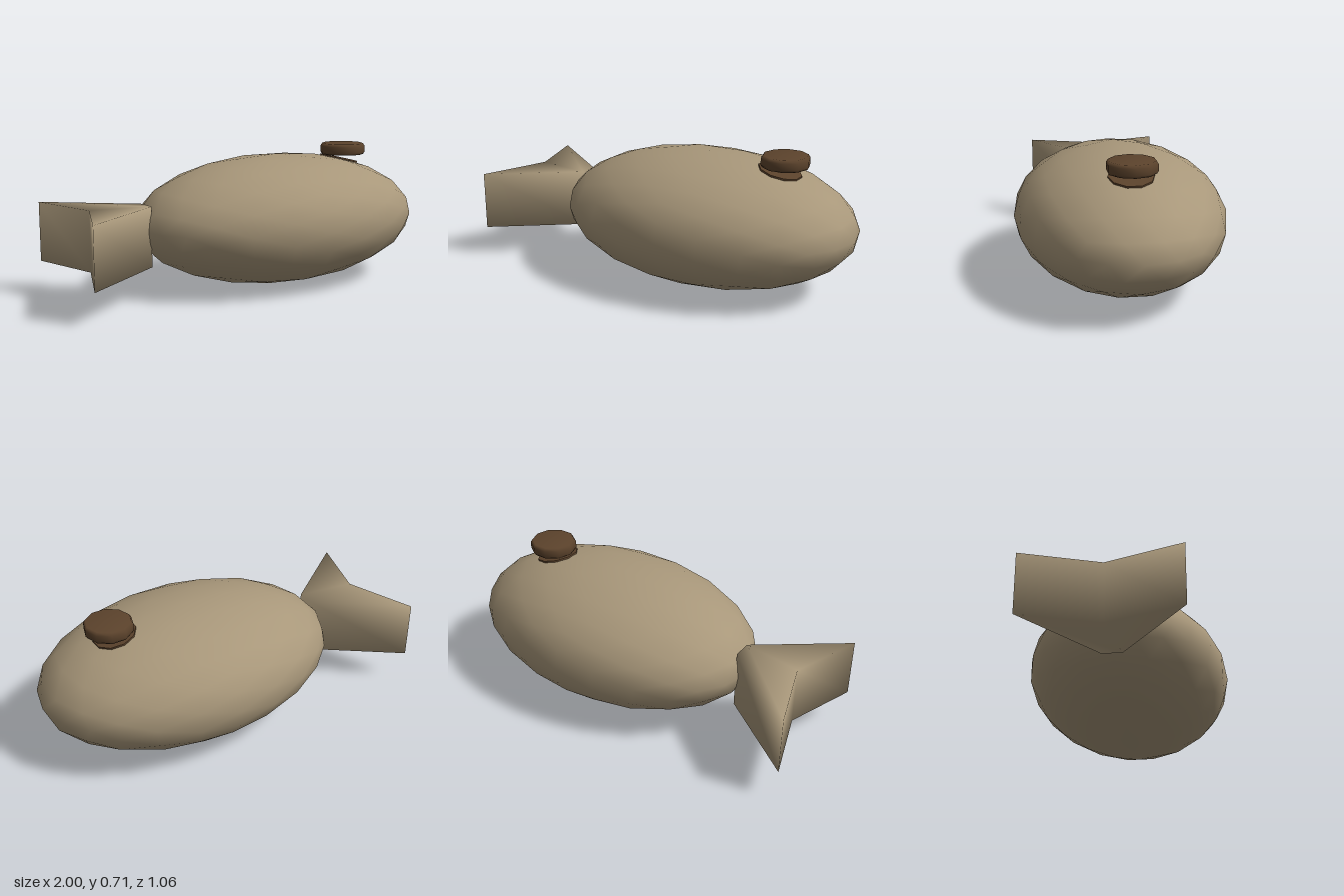
import * as THREE from 'three';
import { mergeVertices } from 'three/addons/utils/BufferGeometryUtils.js';

const tan = new THREE.MeshStandardMaterial({ color: 0xa8977a });
tan.name = 'tan';
const brown = new THREE.MeshStandardMaterial({ color: 0x5c432c });
brown.name = 'brown';

// Share corners so that shading runs smoothly over the whole part
function smooth(geometry) {
  geometry.deleteAttribute('normal');
  geometry.deleteAttribute('uv');
  const merged = mergeVertices(geometry, 1e-4);
  merged.computeVertexNormals();
  return merged;
}

export function createModel() {
  const model = new THREE.Group();
  model.name = 'fish';

  const add = (name, geometry, material, x, y, z = 0) => {
    const mesh = new THREE.Mesh(geometry, material);
    mesh.name = name;
    mesh.position.set(x, y, z);
    model.add(mesh);
    return mesh;
  };

  // Faceted-outline ellipsoid body
  const body = new THREE.IcosahedronGeometry(1, 3);
  body.scale(0.805, 0.34, 0.53);
  add('body', smooth(body), tan, 0.195, 0.345);

  // Forked tail: plan outline extruded upwards
  const outline = new THREE.Shape([
    [-0.57, -0.05], [-0.57, 0.05], [-1, 0.372], [-0.875, 0], [-1, -0.372],
  ].map(([x, z]) => new THREE.Vector2(x, z)));
  const tail = new THREE.ExtrudeGeometry(outline, { depth: 0.305, bevelEnabled: false });
  tail.rotateX(-Math.PI / 2);
  add('tail', smooth(tail), tan, 0, 0.165);

  // Ten-sided cap with softened rims
  const profile = [[0, 0], [0.114, 0], [0.122, 0.012], [0.122, 0.045], [0.112, 0.06], [0, 0.06]]
    .map(([r, y]) => new THREE.Vector2(r, y));
  const cap = new THREE.LatheGeometry(profile, 10);
  cap.rotateY(Math.PI / 2);
  add('cap', smooth(cap), brown, 0.622, 0.66);

  // Thin pad lying on the body's slope beneath the cap
  const pad = add('capPad', new THREE.CylinderGeometry(0.11, 0.11, 0.009, 10), brown, 0.595, 0.636);
  pad.rotation.z = -0.24;

  return model;
}
